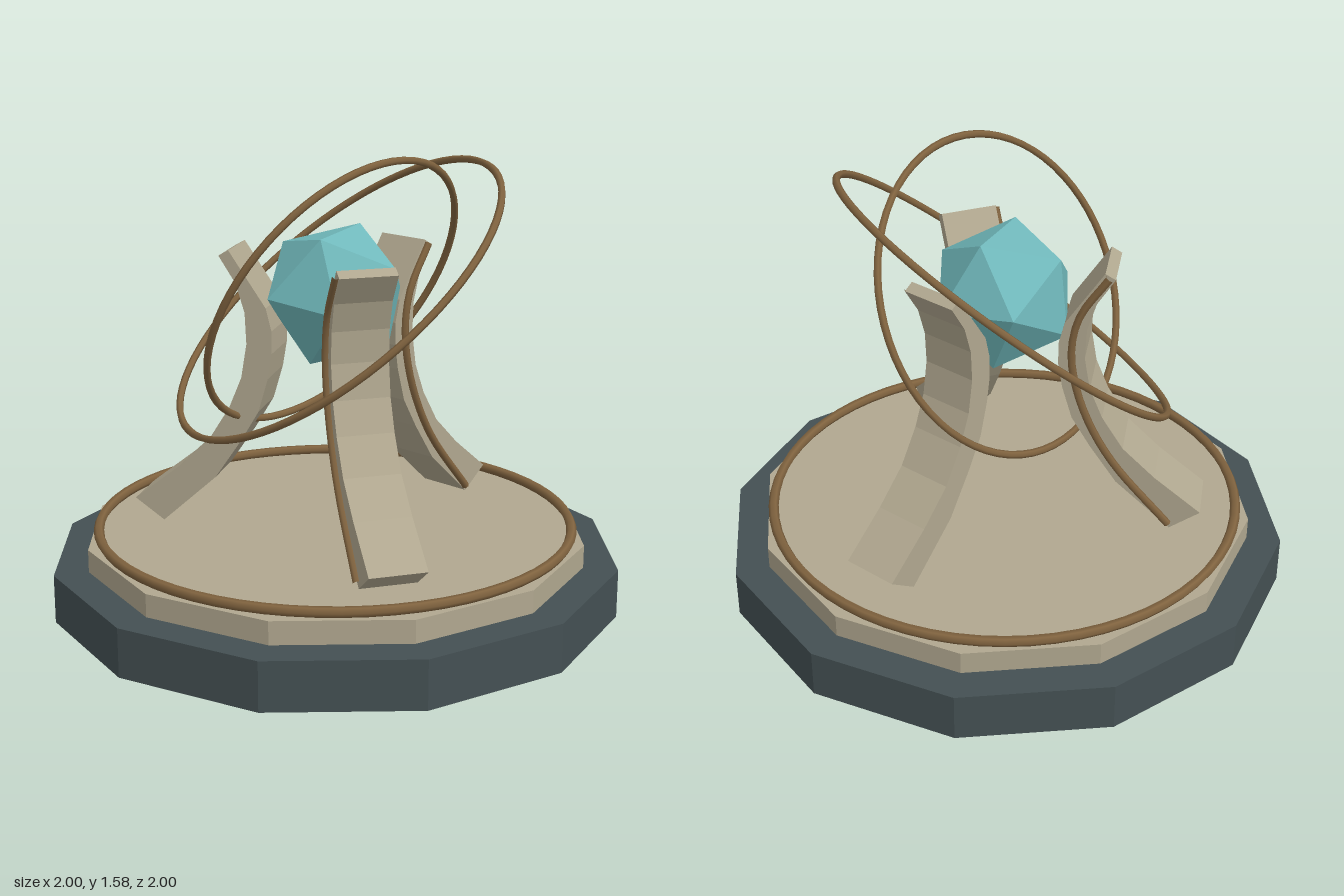
import * as THREE from 'three';

const material = (name, color) => {
  const m = new THREE.MeshStandardMaterial({ color });
  m.name = name;
  return m;
};

export function createModel() {
  const slate = material('dark slate', 0x445053);
  const stone = material('pale stone', 0xb0a78f);
  const bronze = material('bronze', 0x80633f);
  const crystal = material('teal crystal', 0x70b8bb);
  slate.flatShading = stone.flatShading = crystal.flatShading = true;

  const model = new THREE.Group();
  model.name = 'crystalPedestal';
  const add = (name, geometry, mat, y = 0, parent = model) => {
    const mesh = new THREE.Mesh(geometry, mat);
    mesh.name = name;
    mesh.position.y = y;
    parent.add(mesh);
    return mesh;
  };

  // Twelve-sided stepped base with a bronze inlay ring
  add('base', new THREE.CylinderGeometry(1, 1, 0.17, 12), slate, 0.085);
  add('plinth', new THREE.CylinderGeometry(0.88, 0.88, 0.08, 12), stone, 0.21);
  add('baseRing', new THREE.TorusGeometry(0.832, 0.018, 6, 64), bronze, 0.27).rotation.x = Math.PI / 2;

  // Leg profile: distance from the axis, height
  const points = (list) => list.map(([x, y]) => new THREE.Vector2(x, y));
  const inner = points([[0.35, 1.245], [0.28, 1.14], [0.22, 1.05], [0.2, 0.97], [0.2, 0.89],
    [0.215, 0.8], [0.25, 0.68], [0.315, 0.57], [0.41, 0.43], [0.605, 0.255]]);
  const outer = points([[0.385, 1.225], [0.325, 1.13], [0.295, 1.03], [0.29, 0.92], [0.31, 0.8],
    [0.355, 0.69], [0.43, 0.57], [0.545, 0.46], [0.71, 0.33]]);
  const legGeometry = new THREE.ExtrudeGeometry(new THREE.Shape([...inner, ...outer.reverse()]),
    { depth: 0.2, bevelEnabled: false });
  legGeometry.translate(0, 0, -0.1);

  // Bronze rod running down one side of each leg
  const rodPath = new THREE.CatmullRomCurve3([[0.365, 1.23], [0.27, 1.08], [0.245, 0.95], [0.26, 0.82],
    [0.31, 0.67], [0.4, 0.51], [0.6, 0.275]].map(([x, y]) => new THREE.Vector3(x, y, 0.105)));
  const rodGeometry = new THREE.TubeGeometry(rodPath, 24, 0.014, 6);

  for (let i = 0; i < 3; i++) {
    const leg = new THREE.Group();
    leg.name = 'leg' + (i + 1);
    leg.rotation.y = (i * Math.PI * 2) / 3;
    add('legBody', legGeometry, stone, 0, leg);
    add('legTrim', rodGeometry, bronze, 0, leg);
    model.add(leg);
  }

  // Faceted crystal held between the legs
  add('crystal', new THREE.IcosahedronGeometry(0.26, 0), crystal, 1.093).rotation.set(0.13, 0.25, 0.02);

  // Two tilted orbit rings
  add('innerOrbit', new THREE.TorusGeometry(0.548, 0.013, 6, 64), bronze, 1.09).rotation.x = 0.5;
  const outerOrbit = add('outerOrbit', new THREE.TorusGeometry(0.683, 0.013, 6, 72), bronze, 1.09);
  outerOrbit.quaternion.setFromUnitVectors(new THREE.Vector3(0, 0, 1),
    new THREE.Vector3(-0.56, 0.775, -0.29).normalize());

  return model;
}
